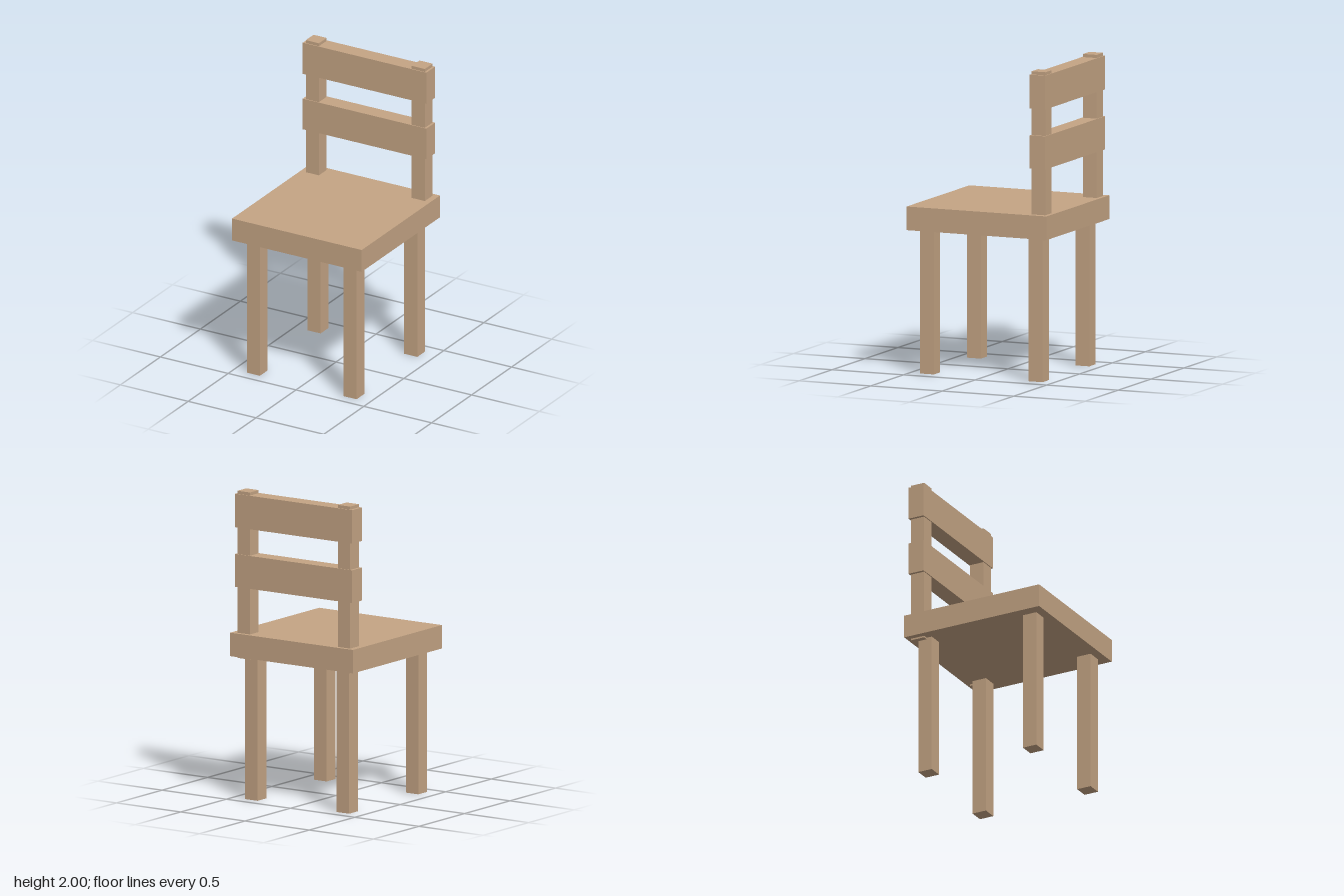
import * as THREE from 'three';

export function createModel() {
  const chair = new THREE.Group();
  chair.name = 'chair';
  const wood = new THREE.MeshStandardMaterial({ color: 0xc4a484 });
  wood.name = 'light wood';

  // Box given by its lower and upper limits on each axis
  const board = (name, [x0, x1], [y0, y1], [z0, z1]) => {
    const mesh = new THREE.Mesh(new THREE.BoxGeometry(x1 - x0, y1 - y0, z1 - z0), wood);
    mesh.position.set((x0 + x1) / 2, (y0 + y1) / 2, (z0 + z1) / 2);
    mesh.name = name;
    chair.add(mesh);
  };

  board('seat', [-0.478, 0.478], [0.928, 1.08], [-0.489, 0.489]);

  // Legs and back posts, mirrored left and right
  for (const [side, s] of [['left', 1], ['right', -1]]) {
    const span = (a, b) => (s > 0 ? [a, b] : [-b, -a]);
    board(side + 'FrontLeg', span(0.308, 0.405), [0, 0.94], [0.332, 0.429]);
    board(side + 'BackLeg', span(0.308, 0.405), [0, 0.94], [-0.427, -0.33]);
    board(side + 'BackPost', span(0.342, 0.439), [0.917, 2], [-0.463, -0.366]);
  }

  // Back slats wrap around the posts
  board('upperSlat', [-0.458, 0.454], [1.763, 1.98], [-0.469, -0.36]);
  board('lowerSlat', [-0.458, 0.454], [1.377, 1.59], [-0.469, -0.36]);

  return chair;
}
